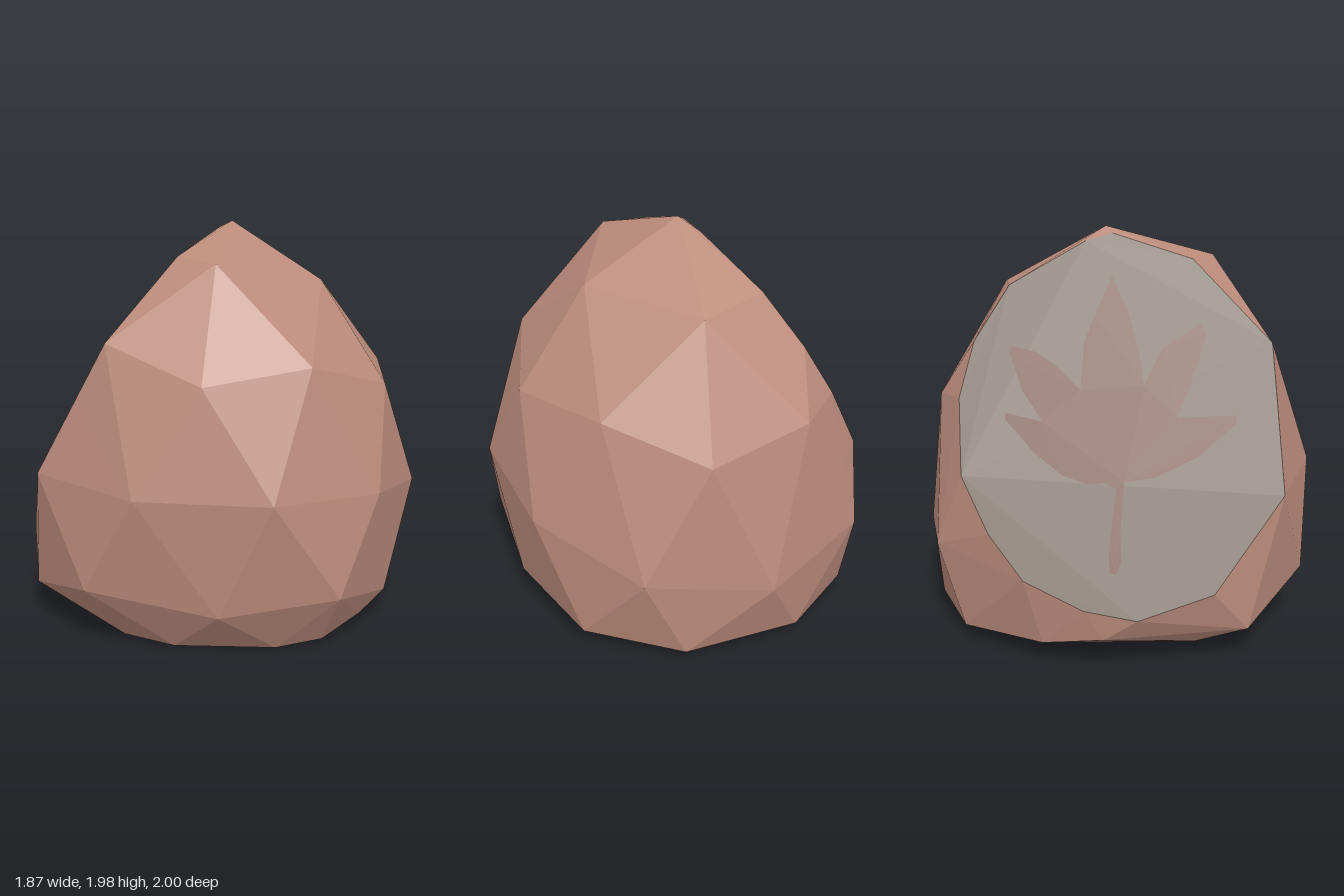
import * as THREE from 'three';
import { ConvexGeometry } from 'three/addons/geometries/ConvexGeometry.js';

// Height of the slanted cut plane above a ground position
const cutY = (x, z) => 2.04 + 1.82 * x - 0.15 * z;

// Outline of the cut face, as [x, z]
const cutOutline = [
  [-0.69, -0.66], [-0.51, -0.7], [-0.37, -0.65], [-0.22, -0.5], [-0.08, -0.14],
  [-0.05, -0.01], [-0.08, 0.39], [-0.25, 0.79], [-0.38, 0.82], [-0.6, 0.87],
  [-0.85, 0.56], [-0.94, 0.21], [-0.94, -0.04], [-0.9, -0.33], [-0.81, -0.51],
];

// Corners of the boulder, ring by ring
const crown = [[0, 1.98, -0.05], [0.17, 1.82, 0.48], [0.49, 1.71, -0.04], [0.13, 1.67, -0.59]];
const shoulder = [
  [0.26, 1.31, 0.81], [0.65, 1.37, 0.46], [0.84, 1.22, -0.03],
  [0.63, 1.24, -0.54], [0.23, 1.07, -0.875], [-0.29, 1.17, -0.85],
];
const waist = [
  [0, 0.8, 1], [0.6, 0.79, 0.77], [0.93, 0.76, 0.28], [0.91, 0.66, -0.33],
  [0.55, 0.48, -0.82], [-0.05, 0.39, -1], [-0.63, 0.5, -0.81],
];
const skirt = [
  [-0.73, 0.18, 0.72], [-0.28, 0.31, 0.98], [0.35, 0.23, 0.83],
  [0.83, 0.29, 0.51], [0.88, 0.16, 0], [-0.92, 0.18, 0.05],
];
const foot = [
  [-0.5, 0.04, 0.62], [-0.19, 0.02, 0.77], [0.08, 0.01, 0.76], [0.52, 0, 0.55],
  [0.7, 0.02, 0.4], [0.8, 0.07, 0.14], [0.75, 0.08, -0.52], [0.35, 0.055, -0.86],
  [-0.25, 0.05, -0.9], [-0.65, 0.07, -0.68], [-0.87, 0.12, -0.25], [-0.68, 0.07, 0.47],
];

// Leaf outline with its stalk, as [x, z]
const leafOutline = [
  [-0.85, 0.07], [-0.8, 0.06], [-0.66, 0.08], [-0.65, 0.03], [-0.66, -0.06], [-0.65, -0.18],
  [-0.61, -0.32], [-0.545, -0.47], [-0.53, -0.47], [-0.535, -0.29], [-0.47, -0.4],
  [-0.39, -0.47], [-0.37, -0.47], [-0.375, -0.34], [-0.4, -0.24], [-0.445, -0.12],
  [-0.33, -0.115], [-0.26, -0.07], [-0.16, 0], [-0.24, 0.09], [-0.33, 0.15], [-0.41, 0.185],
  [-0.31, 0.265], [-0.24, 0.44], [-0.26, 0.47], [-0.33, 0.44], [-0.47, 0.35], [-0.44, 0.63],
  [-0.46, 0.63], [-0.55, 0.46], [-0.615, 0.265], [-0.64, 0.115], [-0.75, 0.11], [-0.82, 0.12],
  [-0.85, 0.1],
];

// Flat plate lying on the cut plane, raised slightly
function platOnCut(outline, lift) {
  const shape = new THREE.Shape(outline.map(([x, z]) => new THREE.Vector2(x, -z)));
  const geometry = new THREE.ShapeGeometry(shape);
  const p = geometry.attributes.position;
  for (let i = 0; i < p.count; i++) {
    const x = p.getX(i), z = -p.getY(i);
    p.setXYZ(i, x, cutY(x, z) + lift, z);
  }
  geometry.computeVertexNormals();
  return geometry;
}

export function createModel() {
  const group = new THREE.Group();
  group.name = 'boulder';
  const stone = new THREE.MeshStandardMaterial({ color: 0xbc8c7c });
  stone.name = 'pinkStone';
  const slate = new THREE.MeshStandardMaterial({ color: 0x675848 });
  slate.name = 'darkSlate';
  const rust = new THREE.MeshStandardMaterial({ color: 0x6e3a29, side: THREE.DoubleSide });
  rust.name = 'rustLeaf';

  // Faceted body; triangles lying on the cut plane take the slate colour
  const corners = [...crown, ...shoulder, ...waist, ...skirt, ...foot,
    ...cutOutline.map(([x, z]) => [x, cutY(x, z), z])];
  const body = new ConvexGeometry(corners.map((c) => new THREE.Vector3(...c)));
  const p = body.attributes.position;
  for (let i = 0; i < p.count; i += 3) {
    let onCut = true;
    for (let j = i; j < i + 3; j++) {
      if (Math.abs(p.getY(j) - cutY(p.getX(j), p.getZ(j))) > 0.003) onCut = false;
    }
    body.addGroup(i, 3, onCut ? 1 : 0);
  }
  const rock = new THREE.Mesh(body, [stone, slate]);
  rock.name = 'rockBody';
  group.add(rock);

  // Painted leaf on the cut face
  const leaf = new THREE.Mesh(platOnCut(leafOutline, 0.008), rust);
  leaf.name = 'leafPainting';
  group.add(leaf);
  return group;
}
